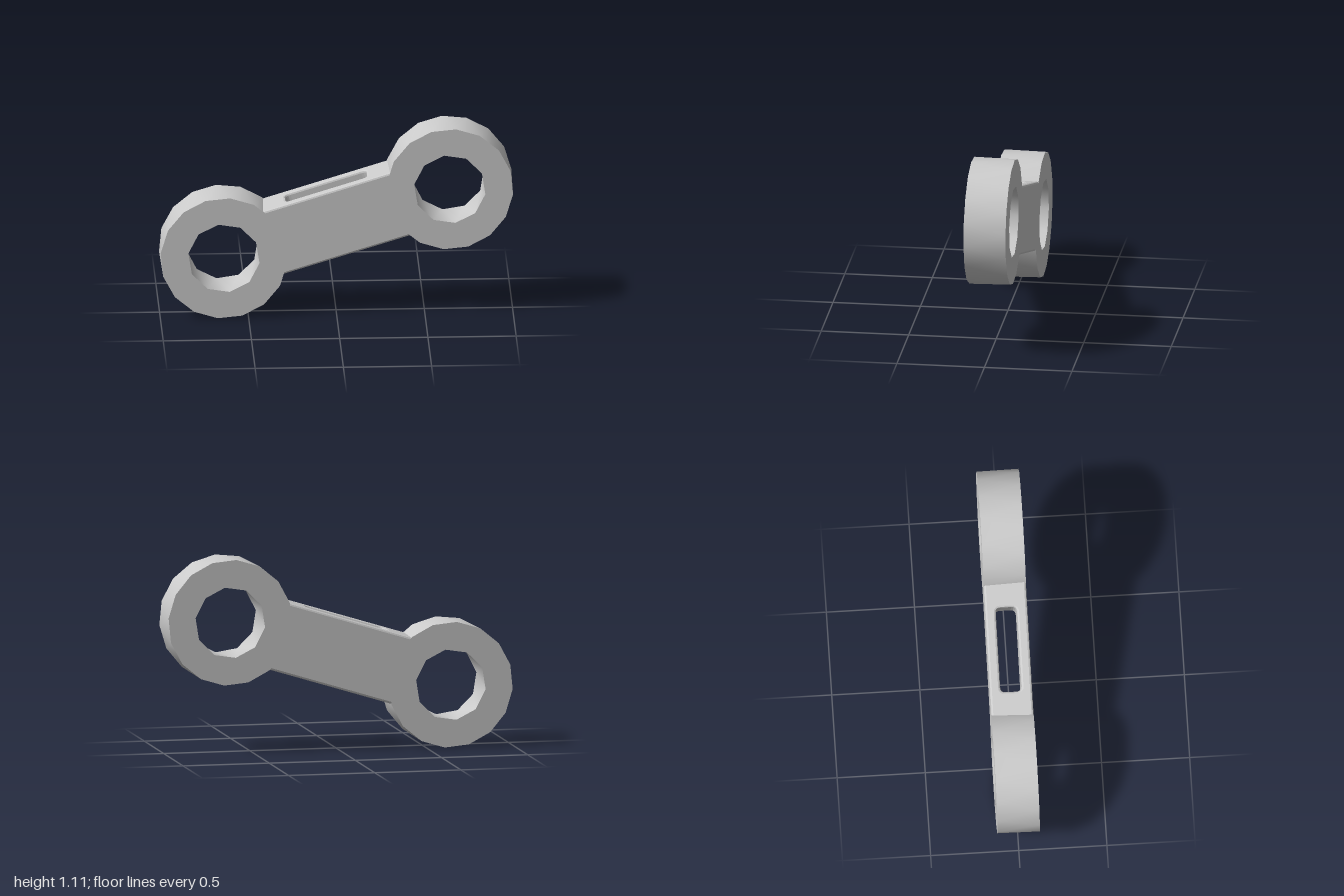
import * as THREE from 'three';
import { mergeGeometries } from 'three/addons/utils/BufferGeometryUtils.js';

const HALF = 0.12;                      // half thickness of the link
const RX = 0.64, Y_LOW = 0.36, Y_HIGH = 0.755;
const OUTER = { r: 0.36, n: 16 }, BORE = { r: 0.204, n: 10 };

// Corners of a faceted circle, turned a quarter step so front and back are staggered
const corners = ({ r, n }) => Array.from({ length: n }, (_, k) => {
  const a = (k - 0.25) * 2 * Math.PI / n;
  return new THREE.Vector2(r * Math.cos(a), r * Math.sin(a));
});

// Wall joining the front circle to the staggered back circle
function wall({ r, n }, inward) {
  const pos = [], nor = [], uv = [], idx = [], s = inward ? -1 : 1;
  for (let k = 0; k <= n; k++) {
    for (const side of [1, -1]) {
      const a = (k - 0.25 * side) * 2 * Math.PI / n;
      pos.push(r * Math.cos(a), r * Math.sin(a), side * HALF);
      nor.push(s * Math.cos(a), s * Math.sin(a), 0);
      uv.push(k / n, (side + 1) / 2);
    }
    if (k === n) break;
    const f = 2 * k, b = f + 1, f1 = f + 2, b1 = f + 3;
    if (inward) idx.push(f, f1, b, b, f1, b1);
    else idx.push(f, b, f1, b, b1, f1);
  }
  const g = new THREE.BufferGeometry();
  g.setAttribute('position', new THREE.Float32BufferAttribute(pos, 3));
  g.setAttribute('normal', new THREE.Float32BufferAttribute(nor, 3));
  g.setAttribute('uv', new THREE.Float32BufferAttribute(uv, 2));
  g.setIndex(idx);
  return g;
}

function ringGeometry() {
  const face = new THREE.Shape(corners(OUTER));
  face.holes.push(new THREE.Path(corners(BORE)));
  const front = new THREE.ShapeGeometry(face).translate(0, 0, HALF);
  const back = front.clone().rotateX(Math.PI);
  return mergeGeometries([front, back, wall(OUTER, false), wall(BORE, true)]);
}

// Connecting bar with a rounded slot running through it from top to bottom
function barGeometry() {
  const L = 0.42, V = 0.197, bevel = 0.012;
  const plan = new THREE.Shape();
  plan.moveTo(-L, -HALF).lineTo(L, -HALF).lineTo(L, HALF).lineTo(-L, HALF).closePath();

  const u = 0.24, w = 0.06, c = 0.03;
  const slot = new THREE.Path();
  slot.moveTo(-u + c, -w).lineTo(u - c, -w).quadraticCurveTo(u, -w, u, -w + c);
  slot.lineTo(u, w - c).quadraticCurveTo(u, w, u - c, w);
  slot.lineTo(-u + c, w).quadraticCurveTo(-u, w, -u, w - c);
  slot.lineTo(-u, -w + c).quadraticCurveTo(-u, -w, -u + c, -w);
  plan.holes.push(slot);

  return new THREE.ExtrudeGeometry(plan, {
    depth: 2 * (V - bevel), curveSegments: 4, bevelEnabled: true,
    bevelSize: bevel, bevelThickness: bevel, bevelOffset: -bevel, bevelSegments: 2,
  }).translate(0, 0, -(V - bevel)).rotateX(-Math.PI / 2);
}

export function createModel() {
  const model = new THREE.Group();
  model.name = 'linkArm';
  const material = new THREE.MeshStandardMaterial({ color: 0xcccccc });

  // Ring eyes, the second turned half a revolution
  const ring = ringGeometry();
  for (const [name, x, y, turn] of [['rightRing', -RX, Y_LOW, 0], ['leftRing', RX, Y_HIGH, Math.PI]]) {
    const mesh = new THREE.Mesh(ring, material);
    mesh.name = name;
    mesh.position.set(x, y, 0);
    mesh.rotation.z = turn;
    model.add(mesh);
  }

  // Slanted bar between the eyes
  const bar = new THREE.Mesh(barGeometry(), material);
  bar.name = 'slottedBar';
  bar.position.y = (Y_LOW + Y_HIGH) / 2;
  bar.rotation.z = Math.atan2(Y_HIGH - Y_LOW, 2 * RX);
  model.add(bar);
  return model;
}
